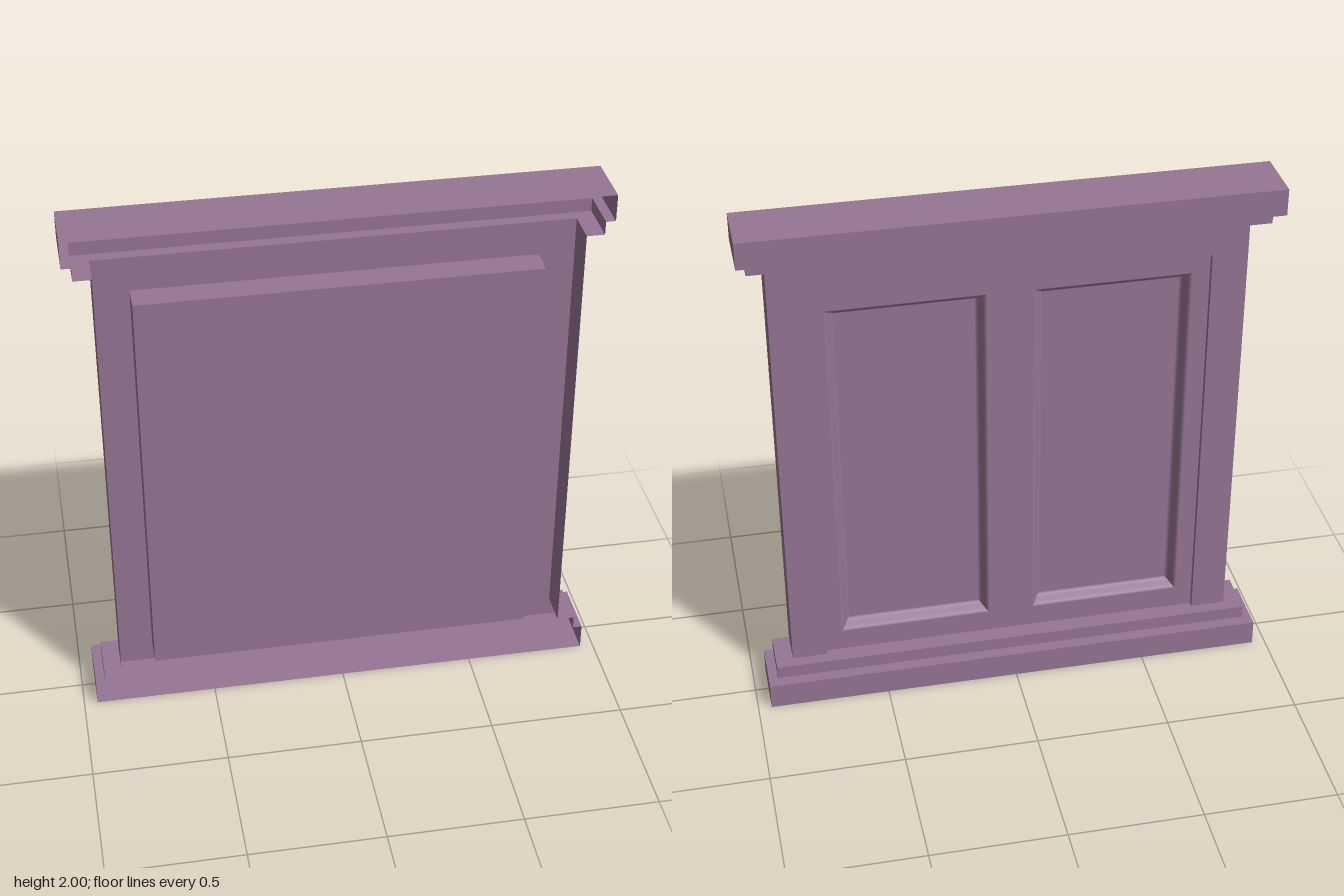
import * as THREE from 'three';
import { mergeGeometries } from 'three/addons/utils/BufferGeometryUtils.js';

const FRONT = 0.11, WALL = -0.02;              // open front edge, body back wall
const DOOR = { x: 0.72, y0: 0.15, y1: 1.72, face: 0, front: 0.083 };

const material = new THREE.MeshStandardMaterial({ color: 0x967594, side: THREE.DoubleSide });

// Surface through rows of points, smooth within the patch
function patch(rows) {
  const n = rows[0].length, index = [];
  for (let i = 0; i < rows.length - 1; i++) {
    for (let j = 0; j < n - 1; j++) {
      const a = i * n + j, b = a + 1, d = a + n, c = d + 1;
      index.push(a, b, c, a, c, d);
    }
  }
  const g = new THREE.BufferGeometry();
  g.setAttribute('position', new THREE.Float32BufferAttribute(rows.flat(2), 3));
  g.setIndex(index);
  g.computeVertexNormals();
  return g;
}

// Strip of separate flat faces between two paths
function strip(lower, upper) {
  const faces = [];
  for (let i = 0; i < lower.length - 1; i++) {
    faces.push(patch([[lower[i], lower[i + 1]], [upper[i], upper[i + 1]]]));
  }
  return mergeGeometries(faces);
}

// U-shaped plan of the shell: side, back, side
const plan = (hw, back, y) => [[hw, y, FRONT], [hw, y, back], [-hw, y, back], [-hw, y, FRONT]];

// Rectangle corners, wound to face the back
const rect = (x0, y0, x1, y1, z) => [[x0, y0, z], [x0, y1, z], [x1, y1, z], [x1, y0, z], [x0, y0, z]];

function shapeOf(points) {
  return new THREE.Shape(points.map(([x, y]) => new THREE.Vector2(x, y)));
}

// Flat shape facing -z (outlines are symmetric in x)
const backFacing = (shape, z) => new THREE.ShapeGeometry(shape).rotateY(Math.PI).translate(0, 0, z);

export function createModel() {
  const model = new THREE.Group();
  const add = (name, geometry, parent = model) => {
    const mesh = new THREE.Mesh(geometry, material);
    mesh.name = name;
    parent.add(mesh);
    return mesh;
  };

  // Stepped base and cornice, hollow and open at the front
  const slab = [0.95, -0.11], step = [0.915, -0.065], body = [0.85, WALL];
  const moulding = (levels) => mergeGeometries(
    levels.slice(1).map((l, i) => strip(plan(...levels[i]), plan(...l))));
  add('base', moulding([[...slab, 0], [...slab, 0.1], [...step, 0.1], [...step, 0.15], [...body, 0.15]]));
  add('cornice', moulding([[...body, 1.85], [...step, 1.85], [...step, 1.9], [...slab, 1.9], [...slab, 2]]));
  add('floor', new THREE.PlaneGeometry(1.9, 0.22).rotateX(Math.PI / 2));
  add('topCap', new THREE.PlaneGeometry(1.9, 0.22).rotateX(-Math.PI / 2).translate(0, 2, 0));

  // Body side walls
  for (const s of [1, -1]) {
    add(s > 0 ? 'leftWall' : 'rightWall',
      new THREE.PlaneGeometry(FRONT - WALL, 1.7).rotateY(s * Math.PI / 2)
        .translate(s * 0.85, 1, (FRONT + WALL) / 2));
  }

  // Back wall framing the door opening
  const { x, y0, y1, face, front } = DOOR;
  add('backWall', backFacing(shapeOf([
    [-0.85, 0.15], [-x, y0], [-x, y1], [x, y1], [x, y0], [0.85, 0.15], [0.85, 1.85], [-0.85, 1.85],
  ]), WALL));

  // Door box: sides run through the opening, closed at the front
  const door = new THREE.Group();
  door.name = 'door';
  model.add(door);
  add('doorSides', strip(rect(-x, y0, x, y1, front), rect(-x, y0, x, y1, WALL)), door);
  add('doorFront', new THREE.PlaneGeometry(2 * x, y1 - y0).translate(0, (y0 + y1) / 2, front), door);

  // Door frame with two sunk panels
  const frame = shapeOf([[-x, y0], [x, y0], [x, y1], [-x, y1]]);
  const bottom = 0.235, top = 1.645, bevel = 0.035, depth = 0.04, steps = 10;
  for (const [px0, px1] of [[-0.655, -0.085], [0.085, 0.655]]) {
    frame.holes.push(shapeOf([[px0, bottom], [px0, top], [px1, top], [px1, bottom]]));

    // Rounded slope around each panel, mitred at the corners
    const loops = [];
    for (let i = 0; i <= steps; i++) {
      const t = i / steps, inset = bevel * t;
      const z = face + depth * (1 - Math.cos(Math.PI * t)) / 2;
      loops.push(rect(px0 + inset, bottom + inset, px1 - inset, top - inset, z));
    }
    const slopes = [0, 1, 2, 3].map((k) => patch(loops.map((l) => [l[k], l[k + 1]])));
    add('panelSlope', mergeGeometries(slopes), door);
    add('panel', new THREE.PlaneGeometry(px1 - px0 - 2 * bevel, top - bottom - 2 * bevel)
      .rotateY(Math.PI).translate((px0 + px1) / 2, (top + bottom) / 2, face + depth), door);
  }
  add('doorFrame', backFacing(frame, face), door);

  return model;
}
